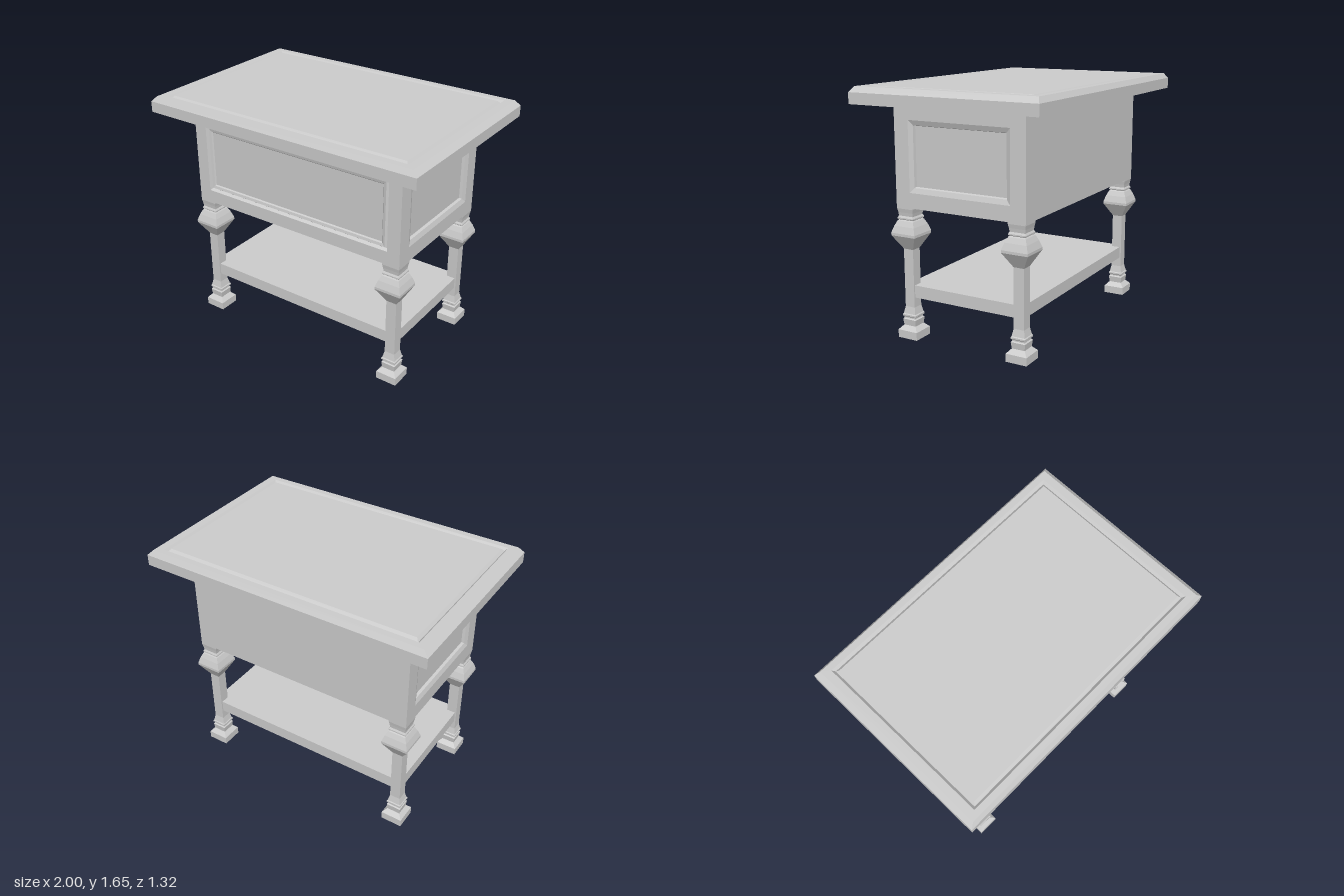
import * as THREE from 'three';

const material = new THREE.MeshStandardMaterial({ color: 0xcccccc, flatShading: true });

// Loft of rectangles [halfX, halfZ, y], closed at the last ring and optionally at the first
function loft(rings, closeStart = false) {
  const corners = [[-1, 1], [1, 1], [1, -1], [-1, -1]];
  const pos = [];
  const point = ([hx, hz, y], i) => [corners[i % 4][0] * hx, y, corners[i % 4][1] * hz];
  const quad = (a, b, c, d) => pos.push(...a, ...b, ...c, ...a, ...c, ...d);
  for (let r = 0; r < rings.length - 1; r++) {
    const lo = rings[r], hi = rings[r + 1];
    for (let i = 0; i < 4; i++) quad(point(lo, i), point(lo, i + 1), point(hi, i + 1), point(hi, i));
  }
  const end = rings[rings.length - 1];
  quad(point(end, 0), point(end, 1), point(end, 2), point(end, 3));
  if (closeStart) {
    const s = rings[0];
    quad(point(s, 3), point(s, 2), point(s, 1), point(s, 0));
  }
  const geo = new THREE.BufferGeometry();
  geo.setAttribute('position', new THREE.Float32BufferAttribute(pos, 3));
  geo.computeVertexNormals();
  return geo;
}

export function createModel() {
  const model = new THREE.Group();
  model.name = 'sideTable';
  const add = (name, geometry, parent = model) => {
    const mesh = new THREE.Mesh(geometry, material);
    mesh.name = name;
    parent.add(mesh);
    return mesh;
  };

  // Table top with chamfered rim and a V groove around the centre panel
  add('tableTop', loft([
    [1, 0.66, 1.54], [1, 0.66, 1.613], [0.965, 0.638, 1.648],
    [0.912, 0.596, 1.648], [0.896, 0.58, 1.63], [0.88, 0.562, 1.648],
  ], true));

  // Cabinet: one wall per side, with moulded recesses on the front and both ends
  const cabinet = new THREE.Group();
  cabinet.name = 'cabinet';
  cabinet.position.y = 1.21;
  model.add(cabinet);
  const W = 0.805, D = 0.47, H = 0.33;
  const wall = (name, rings, turn) =>
    add(name, loft(rings).rotateX(Math.PI / 2).rotateY(turn), cabinet);

  wall('drawerFront', [
    [W, H, D], [0.715, 0.24, D], [0.703, 0.228, D - 0.02], [0.693, 0.218, D - 0.006],
    [0.675, 0.2, D - 0.01], [0.668, 0.193, D - 0.018],
  ], 0);
  const end = [[D, H, W], [0.365, 0.23, W], [0.335, 0.198, W - 0.012], [0.33, 0.193, W - 0.03]];
  wall('leftEnd', end, Math.PI / 2);
  wall('rightEnd', end, -Math.PI / 2);
  wall('backWall', [[W, H, D]], Math.PI);
  add('cabinetFloor', new THREE.PlaneGeometry(2 * W, 2 * D).rotateX(Math.PI / 2), cabinet)
    .position.y = -H;

  // Square carved legs: half width and height from the foot upwards
  const profile = [
    [0.073, 0], [0.073, 0.053], [0.045, 0.083], [0.05, 0.125], [0.043, 0.132],
    [0.043, 0.14], [0.051, 0.147], [0.051, 0.157], [0.046, 0.163], [0.036, 0.21],
    [0.036, 0.6], [0.062, 0.645], [0.091, 0.695], [0.091, 0.712], [0.076, 0.757],
    [0.06, 0.79], [0.054, 0.797], [0.06, 0.802], [0.06, 0.81], [0.053, 0.822],
    [0.056, 0.845], [0.061, 0.87], [0.061, 0.885],
  ];
  const legGeometry = loft(profile.map(([h, y]) => [h, h, y]), true);
  for (const x of [-1, 1]) {
    for (const z of [-1, 1]) {
      const name = (z > 0 ? 'front' : 'back') + (x > 0 ? 'Left' : 'Right') + 'Leg';
      add(name, legGeometry).position.set(x * 0.744, 0, z * 0.408);
    }
  }

  // Lower shelf joining the legs
  add('shelf', new THREE.BoxGeometry(1.54, 0.083, 0.866)).position.y = 0.318;

  return model;
}
